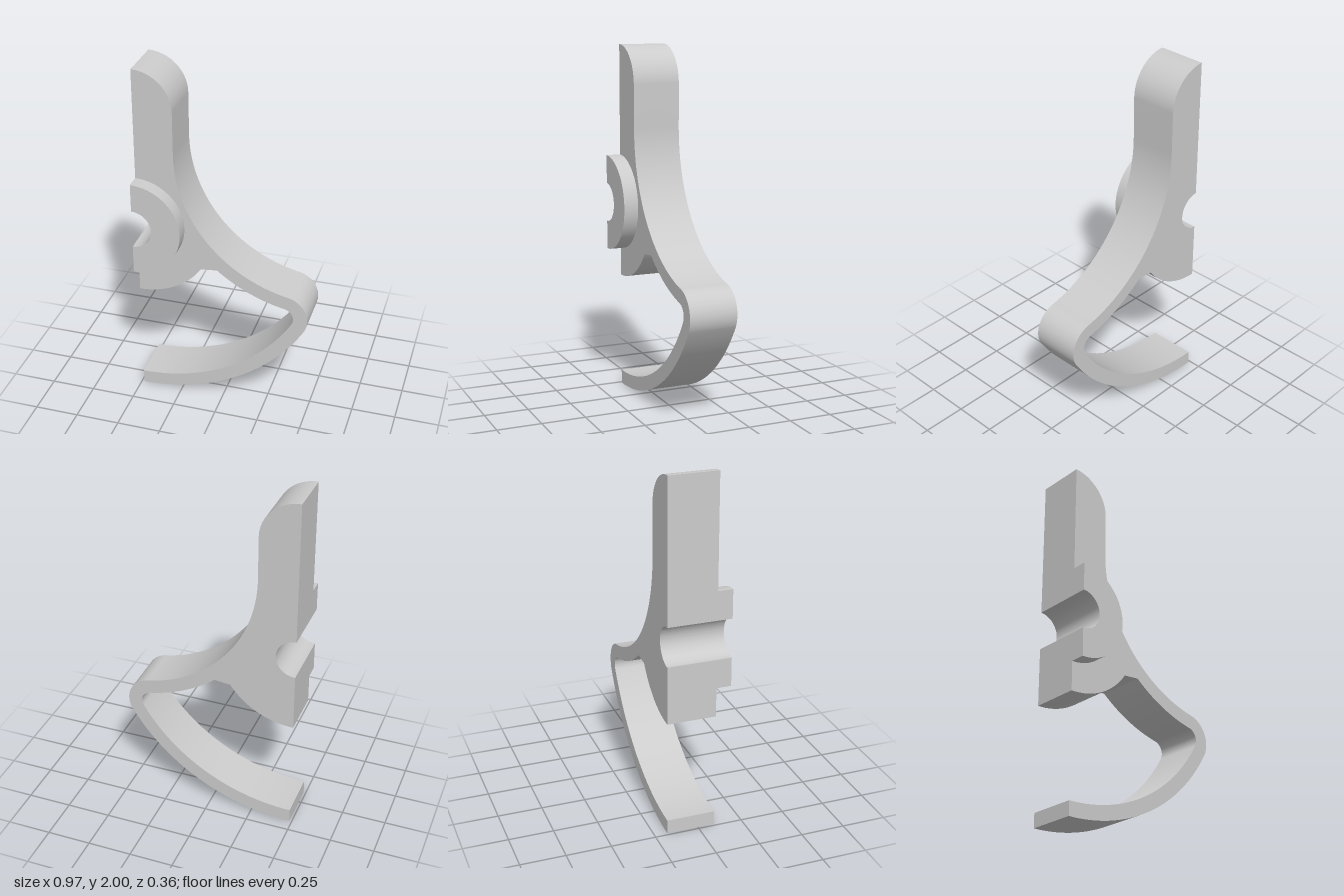
import * as THREE from 'three';
import { toCreasedNormals } from 'three/addons/utils/BufferGeometryUtils.js';

const X0 = -0.486;                           // flat cut face
const Z_BACK = -0.178, Z_FRONT = 0.095, Z_HUB = 0.178;
const hub = new THREE.Vector2(X0, 1.1);      // bore centre, shared by the lower arcs
const sweep = new THREE.Vector2(0.523, 1.54); // centre of the concave flank
const SWEEP_R = 0.792, CORNER_R = 0.144, WALL = 0.08, BODY_R = 0.437, BORE_R = 0.11;

const angle = (from, to) => Math.atan2(to.y - from.y, to.x - from.x);
const arc = (shape, c, r, a, b, clockwise) => shape.absarc(c.x, c.y, r, a, b, clockwise);

// Extrude an outline from z0 to z1, smooth along curves and sharp at edges
function plate(name, outline, z0, z1) {
  const points = outline.getPoints(40);
  const clean = points.filter((p, i) => p.distanceTo(points[(i + 1) % points.length]) > 0.0015);
  const geometry = new THREE.ExtrudeGeometry(new THREE.Shape(clean), { depth: z1 - z0, bevelEnabled: false });
  geometry.translate(0, 0, z0);
  const material = new THREE.MeshStandardMaterial({ color: 0xcccccc });
  const mesh = new THREE.Mesh(toCreasedNormals(geometry, 0.5), material);
  mesh.name = name;
  return mesh;
}

export function createModel() {
  const group = new THREE.Group();
  group.name = 'halfBracket';
  const down = -Math.PI / 2, up = Math.PI / 2;

  // Rounded outer corner and the small fillet where the arm leaves the body
  const corner = new THREE.Vector2(0.342, 0.622);
  const fillet = new THREE.Vector2(-0.073, 0.823);
  const toCorner = angle(sweep, corner), cornerTop = angle(corner, sweep);
  const rimEnd = angle(hub, corner);

  // Stem, flank, arm and curved rim as one outline
  const body = new THREE.Shape();
  body.moveTo(X0, 2);
  arc(body, new THREE.Vector2(X0, 1.783), 0.217, up, 0, true);
  arc(body, sweep, SWEEP_R, Math.PI, toCorner, false);
  arc(body, corner, CORNER_R, cornerTop, rimEnd, true);
  arc(body, hub, 1.1, rimEnd, down, true);
  // back along the inside of the rim and arm
  arc(body, hub, 1.1 - WALL, down, rimEnd, false);
  arc(body, corner, CORNER_R - WALL, rimEnd, cornerTop, false);
  arc(body, sweep, SWEEP_R + WALL, toCorner, angle(sweep, fillet), true);
  arc(body, fillet, 0.06, angle(fillet, sweep), angle(fillet, hub), false);
  // round underside of the body and the half bore
  arc(body, hub, BODY_R, angle(hub, fillet), down, true);
  arc(body, hub, BORE_R, down, up, false);
  body.closePath();
  group.add(plate('bracketBody', body, Z_BACK, Z_FRONT));

  // Raised half ring around the bore
  const boss = new THREE.Shape();
  arc(boss, hub, 0.272, down, up, false);
  arc(boss, hub, BORE_R, up, down, true);
  boss.closePath();
  group.add(plate('hubBoss', boss, Z_FRONT, Z_HUB));

  return group;
}
